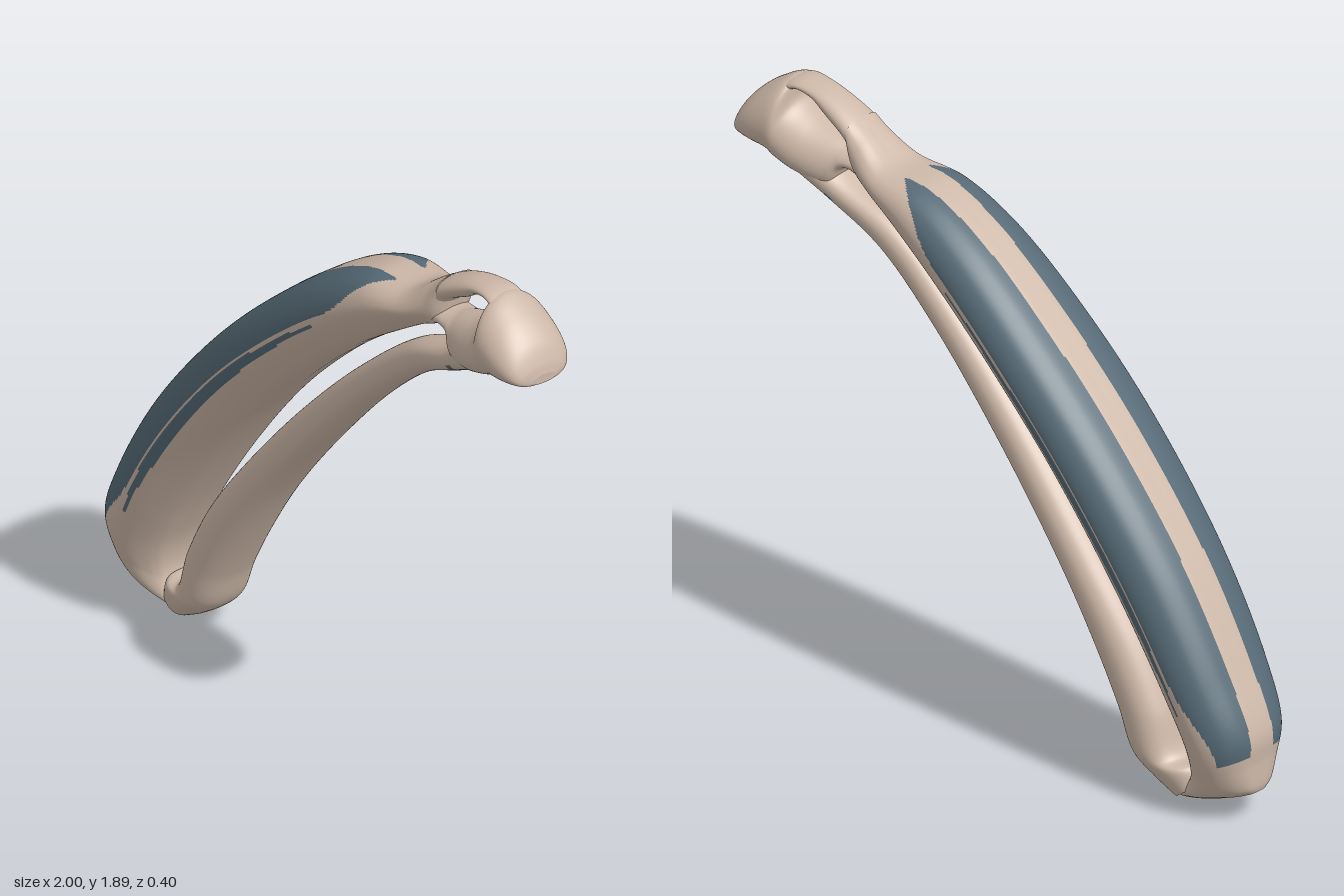
import * as THREE from 'three';

const shell = new THREE.MeshStandardMaterial({ color: 0xcdb8a8 });
shell.name = 'warm beige';
const inlay = new THREE.MeshStandardMaterial({ color: 0x566a76 });
inlay.name = 'slate blue';

// Half cross-section: x = depth from outer edge (0) to inner edge (1), y = relative half width
const shellProfile = new THREE.SplineCurve([
  [0, 0], [0.003, 0.26], [0.035, 0.54], [0.13, 0.79], [0.27, 0.94], [0.43, 1], [0.57, 0.97],
  [0.7, 0.87], [0.82, 0.73], [0.92, 0.57], [0.98, 0.38], [1, 0],
].map(([d, w]) => new THREE.Vector2(d, w))).getSpacedPoints(100);

// Rounded section; skew above 0 moves the widest point towards the inner edge
function roundProfile(power, skew = 0, n = 28) {
  const pts = [];
  for (let i = 0; i <= n; i++) {
    const a = (i / n) * Math.PI, c = Math.cos(a), s = Math.max(0, Math.sin(a));
    const d = 0.5 - 0.5 * Math.sign(c) * Math.abs(c) ** power;
    pts.push(new THREE.Vector2(d + skew * d * (1 - d), s ** power));
  }
  return pts;
}

// Stations are [outerX, outerY, innerX, innerY, halfWidth], splined lengthwise.
// isBlue(outerX, outerY, depth, z) picks the inlaid faces.
function loft(name, stations, profile, steps, isBlue = () => false) {
  const spline = (f) => new THREE.CatmullRomCurve3(stations.map(f), false, 'centripetal');
  const outer = spline((s) => new THREE.Vector3(s[0], s[1], s[4]));
  const inner = spline((s) => new THREE.Vector3(s[2], s[3], s[4]));
  const half = profile.length - 1, n = half * 2;
  const ring = [];
  for (let j = 0; j < n; j++) {
    const p = profile[j <= half ? j : n - j];
    ring.push({ d: p.x, w: j <= half ? p.y : -p.y });
  }
  const pos = [], plain = [], blue = [], rows = [];
  for (let i = 0; i <= steps; i++) {
    const o = outer.getPoint(i / steps), q = inner.getPoint(i / steps);
    rows.push(o);
    for (const { d, w } of ring) {
      pos.push(o.x + (q.x - o.x) * d, o.y + (q.y - o.y) * d, o.z * w);
    }
  }
  for (let i = 0; i < steps; i++) {
    for (let j = 0; j < n; j++) {
      const k = (j + 1) % n, a = i * n + j, b = i * n + k, c = a + n, e = b + n;
      const d = (ring[j].d + ring[k].d) / 2;
      const z = Math.abs((ring[j].w + ring[k].w) / 2) * rows[i].z;
      (isBlue(rows[i].x, rows[i].y, d, z) ? blue : plain).push(a, b, c, b, e, c);
    }
  }
  // End caps with their own vertices
  for (const end of [0, steps]) {
    const base = pos.length / 3, mid = new THREE.Vector3();
    for (let j = 0; j < n; j++) {
      const v = new THREE.Vector3().fromArray(pos, (end * n + j) * 3);
      pos.push(v.x, v.y, v.z);
      mid.addScaledVector(v, 1 / n);
    }
    pos.push(mid.x, mid.y, mid.z);
    for (let j = 0; j < n; j++) {
      const k = (j + 1) % n;
      plain.push(base + n, base + (end ? j : k), base + (end ? k : j));
    }
  }
  const geo = new THREE.BufferGeometry();
  geo.setAttribute('position', new THREE.Float32BufferAttribute(pos, 3));
  geo.setIndex([...plain, ...blue]);
  geo.addGroup(0, plain.length, 0);
  if (blue.length) geo.addGroup(plain.length, blue.length, 1);
  geo.computeVertexNormals();
  const mesh = new THREE.Mesh(geo, [shell, inlay]);
  mesh.name = name;
  return mesh;
}

// Broad side inlay plus a slim stripe below it
function beamInlay(x, y, d, z) {
  const { smoothstep } = THREE.MathUtils;
  if (y < 0.24) return false;
  const limit = (0.26 + 0.205 * smoothstep(y, 0.24, 0.55)) * (1 - smoothstep(x, 0.06, 0.38));
  if (x < 0.34 && d < limit && z > 0.05) return true;
  const taper = smoothstep(y, 0.43, 0.7) * (1 - smoothstep(x, -0.4, 0.02));
  return y > 0.43 && x < 0.0 && Math.abs(d - 0.555) < 0.022 + 0.038 * taper;
}

// Tiny spot on each side where the rod meets the head
const rodSpot = (x, y, d, z) => x > 0.59 && x < 0.615 && d > 0.62 && d < 0.86 && z > 0.02;

export function createModel() {
  const group = new THREE.Group();
  group.name = 'curvedHandle';

  // Wide curved grip, from the slanted foot to the neck
  group.add(loft('mainBeam', [
    [-0.995, 0.107, -0.7, 0, 0.065],
    [-1, 0.13, -0.72, 0.025, 0.1],
    [-1, 0.2, -0.77, 0.11, 0.132],
    [-1, 0.3, -0.765, 0.2, 0.16],
    [-0.92, 0.48, -0.7, 0.35, 0.182],
    [-0.74, 0.79, -0.52, 0.64, 0.194],
    [-0.47, 1.13, -0.275, 0.965, 0.198],
    [-0.205, 1.395, -0.03, 1.22, 0.191],
    [0.06, 1.61, 0.2, 1.42, 0.172],
    [0.25, 1.705, 0.37, 1.545, 0.146],
    [0.42, 1.727, 0.48, 1.62, 0.115],
    [0.51, 1.785, 0.55, 1.66, 0.09],
    [0.565, 1.823, 0.575, 1.752, 0.074],
  ], shellProfile, 240, beamInlay));

  // Rod that runs parallel to the grip, leaving the long slot
  group.add(loft('lowerRod', [
    [-0.79, 0.07, -0.7, 0.0, 0.07],
    [-0.77, 0.12, -0.62, 0.05, 0.09],
    [-0.71, 0.13, -0.54, 0.12, 0.1],
    [-0.655, 0.28, -0.485, 0.25, 0.105],
    [-0.555, 0.475, -0.395, 0.42, 0.105],
    [-0.39, 0.705, -0.255, 0.645, 0.1],
    [-0.13, 1.02, -0.01, 0.96, 0.085],
    [0.145, 1.305, 0.25, 1.25, 0.072],
    [0.395, 1.515, 0.46, 1.433, 0.066],
    [0.595, 1.61, 0.63, 1.527, 0.078],
    [0.7, 1.68, 0.735, 1.583, 0.098],
    [0.78, 1.71, 0.82, 1.615, 0.1],
  ], roundProfile(0.85), 180, rodSpot));

  // Thin arch over the small window
  group.add(loft('headArch', [
    [0.5, 1.775, 0.54, 1.69, 0.08],
    [0.56, 1.82, 0.585, 1.752, 0.073],
    [0.65, 1.865, 0.665, 1.8, 0.062],
    [0.72, 1.883, 0.725, 1.84, 0.055],
    [0.79, 1.886, 0.79, 1.85, 0.058],
    [0.86, 1.862, 0.85, 1.8, 0.065],
  ], roundProfile(0.95), 40));

  // Rounded end head, with the narrow bridge that parts slot and window
  group.add(loft('endHead', [
    [0.51, 1.715, 0.53, 1.645, 0.065],
    [0.56, 1.713, 0.575, 1.66, 0.066],
    [0.6, 1.717, 0.61, 1.645, 0.07],
    [0.635, 1.73, 0.645, 1.58, 0.086],
    [0.73, 1.765, 0.75, 1.592, 0.115],
    [0.79, 1.81, 0.82, 1.616, 0.127],
    [0.805, 1.881, 0.865, 1.63, 0.131],
    [0.89, 1.843, 0.92, 1.64, 0.128],
    [0.96, 1.78, 0.965, 1.65, 0.112],
    [0.99, 1.725, 0.99, 1.656, 0.085],
    [1.0, 1.69, 1.0, 1.66, 0.045],
  ], roundProfile(0.95, 0.4), 90));

  return group;
}
